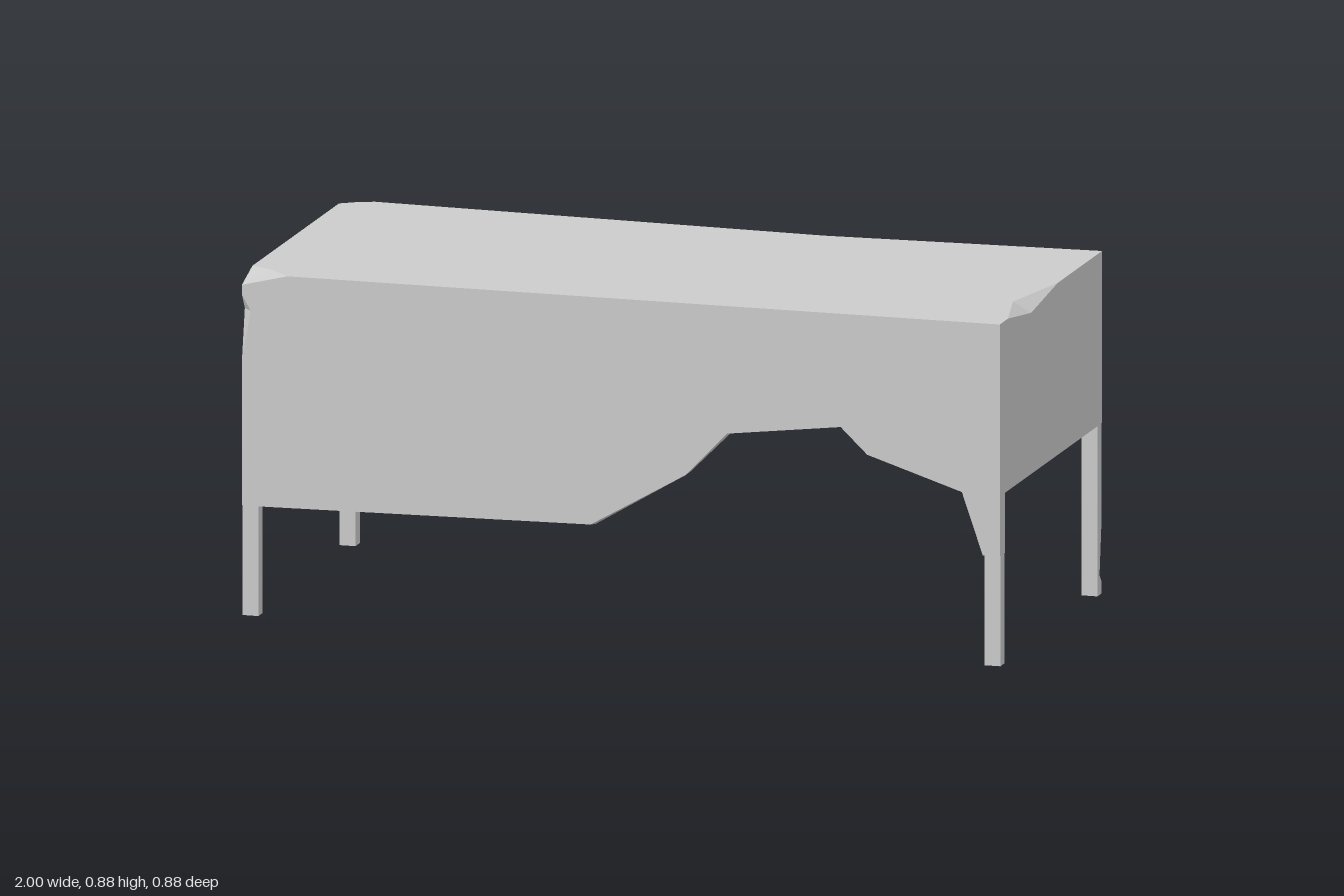
import * as THREE from 'three';

const TOP = 0.885, UNDER = 0.835, SIDE_LOW = 0.44, FRONT_LOW = 0.285;
const DEPTH = 0.44, THICK = 0.042;

// Skins matching loops of [x, y, z] points and caps both ends.
// Loops run counter-clockwise seen from the end they advance towards.
function loft(loops, flatten) {
  const pos = [];
  const tri = (a, b, c) => pos.push(...a, ...b, ...c);
  const n = loops[0].length;
  for (let l = 0; l < loops.length - 1; l++) {
    for (let i = 0; i < n; i++) {
      const j = (i + 1) % n;
      const a = loops[l][i], b = loops[l][j], c = loops[l + 1][j], d = loops[l + 1][i];
      tri(a, b, c);
      tri(a, c, d);
    }
  }
  const cap = (loop, flip) => {
    const contour = loop.map((p) => new THREE.Vector2(...flatten(p)));
    for (const [a, b, c] of THREE.ShapeUtils.triangulateShape(contour, [])) {
      if (flip) tri(loop[a], loop[c], loop[b]);
      else tri(loop[a], loop[b], loop[c]);
    }
  };
  cap(loops[0], true);
  cap(loops[loops.length - 1], false);
  const geometry = new THREE.BufferGeometry();
  geometry.setAttribute('position', new THREE.Float32BufferAttribute(pos, 3));
  geometry.computeVertexNormals();
  return geometry;
}

const alongY = ([x, , z]) => [z, x];
const alongZ = ([x, y]) => [x, y];

export function createModel() {
  const group = new THREE.Group();
  const material = new THREE.MeshStandardMaterial({ color: 0xcccccc, flatShading: true });
  const add = (name, geometry, x = 0, y = 0, z = 0) => {
    const mesh = new THREE.Mesh(geometry, material);
    mesh.name = name;
    mesh.position.set(x, y, z);
    group.add(mesh);
  };

  // Table top with chipped corners, a nicked end and a worn back edge.
  // Rows: x, z, height where the chip starts, then x and z on the top surface.
  const topRows = [
    [-0.92, -DEPTH, TOP, -0.92, -DEPTH],
    [-1, -DEPTH, 0.86, -0.965, -0.42],
    [-1, -0.395, TOP, -1, -0.395],
    [-1, 0.35, TOP, -1, 0.35],
    [-1, DEPTH, 0.855, -0.945, 0.375],
    [-0.88, DEPTH, TOP, -0.88, DEPTH],
    [1, DEPTH, TOP, 1, DEPTH],
    [1, 0.37, TOP, 1, 0.37],
    [1, 0.17, 0.857, 0.955, 0.18],
    [1, -0.06, TOP, 1, -0.06],
    [1, -DEPTH, TOP, 1, -DEPTH],
    [0.28, -0.412, 0.845, 0.28, -0.402],
  ];
  add('tableTop', loft([
    topRows.map(([x, z]) => [x, UNDER, z]),
    topRows.map(([x, z, y]) => [x, y, z]),
    topRows.map(([, , , x, z]) => [x, TOP, z]),
  ], alongY));

  // Front panel with a broken lower edge and a chip on one vertical edge.
  // Rows: back x, back y, front x, front y, z where the chip starts.
  const frontRows = [
    [-1, FRONT_LOW], [-0.93, FRONT_LOW],
    [-0.08, 0.288, -0.08, 0.296],
    [0.17, 0.44], [0.28, 0.55, 0.28, 0.555], [0.58, 0.592], [0.65, 0.525],
    [0.89, 0.445, 0.9, 0.445], [0.94, FRONT_LOW, 0.955, FRONT_LOW],
    [1, FRONT_LOW], [1, UNDER],
    [-1, UNDER], [-1, 0.83],
    [-1, 0.79, -0.977, 0.79, 0.415],
    [-1, 0.66],
  ];
  const inner = DEPTH - 0.045;
  add('frontPanel', loft([
    frontRows.map(([x, y]) => [x, y, inner]),
    frontRows.map(([x, y, fx = x, fy = y, z]) => (z ? [x, y, z] : [fx, fy, DEPTH])),
    frontRows.map(([x, y, fx = x, fy = y]) => [fx, fy, DEPTH]),
  ], alongZ));

  // End panels and legs, mirrored left and right
  const sideLength = DEPTH + inner;
  for (const s of [-1, 1]) {
    const side = s > 0 ? 'left' : 'right';
    const x = s * (1 - THICK / 2);
    add(`${side}EndPanel`, new THREE.BoxGeometry(THICK, UNDER - SIDE_LOW, sideLength),
      x, (UNDER + SIDE_LOW) / 2, (inner - DEPTH) / 2);
    add(`${side}FrontLeg`, new THREE.BoxGeometry(THICK, FRONT_LOW, 0.037), x, FRONT_LOW / 2, 0.417);
    if (s < 0) {
      add(`${side}BackLeg`, new THREE.BoxGeometry(THICK, SIDE_LOW, 0.037), x, SIDE_LOW / 2, -0.4185);
    }
  }

  // Back leg with its outer corner splintered near the foot.
  // Rows: height and size of the corner cut.
  const cuts = [[0, 0], [0.03, 0], [0.05, 0.019], [0.2, 0], [SIDE_LOW, 0]];
  add('leftBackLeg', loft(cuts.map(([y, c]) => [
    [1 - THICK, y, -0.437], [1 - THICK, y, -0.4], [1, y, -0.4],
    [1, y, -0.437 + c], [1 - c, y, -0.437],
  ]), alongY));

  return group;
}
